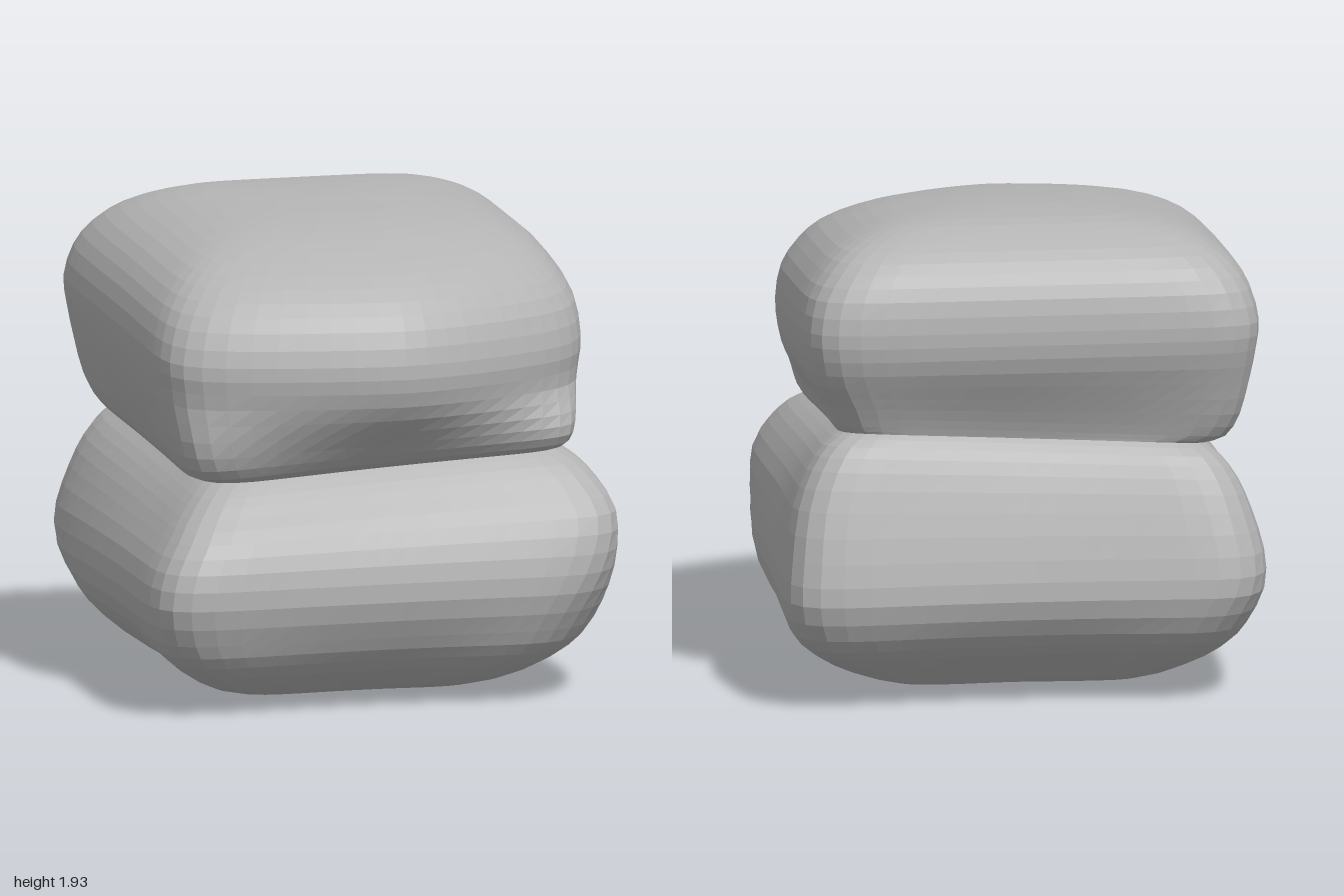
import * as THREE from 'three';

const { smoothstep } = THREE.MathUtils;
const SIDE = 18; // segments along each side of a ring
const SEAM = [0.98, -0.73, 0.77, -0.79, 0.73, 8];

// Rings: height, xMin, xMax, zMin, zMax, corner squareness
const LOWER = [
  [0, 0.05, 0.05, -0.1, -0.1, 4],
  [0.004, -0.3, 0.38, -0.38, 0.25, 4],
  [0.03, -0.6, 0.56, -0.56, 0.58, 5],
  [0.1, -0.79, 0.75, -0.7, 0.77, 6],
  [0.2, -0.93, 0.9, -0.87, 0.91, 7],
  [0.3, -1.0, 0.98, -0.96, 0.96, 8],
  [0.45, -1.03, 1.01, -1.01, 1.0, 9],
  [0.6, -1.0, 1.0, -0.99, 0.99, 9],
  [0.74, -0.93, 0.97, -0.94, 0.94, 9],
  [0.85, -0.86, 0.91, -0.89, 0.86, 9],
  [0.93, -0.79, 0.84, -0.84, 0.79, 9],
  SEAM,
];
const UPPER = [
  SEAM,
  [1.01, -0.81, 0.79, -0.8, 0.79, 9],
  [1.1, -0.86, 0.82, -0.83, 0.86, 10],
  [1.23, -0.89, 0.87, -0.87, 0.94, 10],
  [1.36, -0.91, 0.9, -0.91, 0.985, 10],
  [1.47, -0.92, 0.91, -0.92, 0.99, 10],
  [1.6, -0.89, 0.89, -0.9, 0.95, 9],
  [1.7, -0.83, 0.83, -0.85, 0.87, 8],
  [1.78, -0.74, 0.75, -0.77, 0.75, 7],
  [1.84, -0.62, 0.63, -0.66, 0.59, 6],
  [1.88, -0.47, 0.49, -0.53, 0.42, 5],
  [1.905, -0.25, 0.26, -0.31, 0.2, 4],
  [1.912, 0, 0, -0.07, -0.07, 4],
];

// Smoothly inserts one ring between each pair
function refine(rings) {
  const last = rings.length - 1;
  return rings.flatMap((b, i) => {
    if (i === last) return [b];
    const a = rings[Math.max(i - 1, 0)];
    const c = rings[i + 1];
    const d = rings[Math.min(i + 2, last)];
    return [b, b.map((value, j) => (9 * (value + c[j]) - a[j] - d[j]) / 16)];
  });
}

// Even walk round a square, from (-1,-1) towards +x, then +z
function squarePoint(k) {
  const t = ((k % SIDE) / SIDE) * 2 - 1;
  return [[t, -1], [1, t], [-t, 1], [-1, -t]][Math.floor(k / SIDE) % 4];
}

// Tilt and side pinch of the seam
const PINCH = 0.05;
const seamTilt = (x, z) => 0.055 * x - 0.08 * z + 0.05 * z * z;
const hollow = (t) => Math.max(0, 1 - (t / 0.9) ** 2);

// Lower cushion: hollow sides, two opposite corners swung round, top edge tilted with the seam
function shapeLower(x, y, z, u, v, hx) {
  const seam = smoothstep(y, 0.5, 0.98);
  const low = 0.06 * (1 - smoothstep(y, 0.1, 0.45));
  const dip = (amount) => 1 - (amount + (PINCH - amount) * seam + low);
  let px = x * (1 - hollow(v) * (1 - dip(0.03)));
  const pz = z * (1 - hollow(u) * (1 - dip(v < 0 ? 0.05 : 0.03)));
  if (u < 0) px *= 1 - 0.035 * (1 - seam) * (1 - v);
  const corner = u * v > 0 ? hx * u * Math.abs(v) ** 3 : 0;
  const swing = v > 0 ? 0.28 - 0.25 * smoothstep(y, 0.25, 0.8) : 0.12 * (1 - smoothstep(y, 0.25, 0.6));
  return [px - corner * swing, y + seam * seamTilt(px, pz), pz];
}

// Upper cushion: leaning forward, front edge bowed, one front corner tucked in
function shapeUpper(x, y, z, u, v, hx, hz) {
  const s = smoothstep(y, 0.98, 1.35);
  const px = x * (1 - PINCH * (1 - s) * hollow(v));
  const pz = z * (1 - PINCH * (1 - s) * hollow(u));
  const front = s * Math.max(v, 0);
  const bow = front * hz * Math.abs(u) ** 1.5 * (u > 0 ? 0.33 : 0.21);
  const tuck = u > 0 ? 0.1 * front * hx * u * v : 0;
  return [px - tuck, y + (1 - s) * seamTilt(px, pz) - 0.07 * s * z, pz - bow];
}

// Surface through the rings
function cushion(name, profile, shape, material) {
  const rings = refine(profile);
  const n = SIDE * 4;
  const pos = [];
  const index = [];
  for (const [y, x0, x1, z0, z1, e] of rings) {
    const hx = (x1 - x0) / 2;
    const hz = (z1 - z0) / 2;
    for (let k = 0; k < n; k++) {
      const [a, b] = squarePoint(k);
      const r = Math.pow(Math.abs(a) ** e + Math.abs(b) ** e, -1 / e);
      const u = a * r;
      const v = b * r;
      // the closing rings are single points
      if (hx === 0) pos.push(x0, y - (y > 1 ? 0.07 * z0 : 0), z0);
      else pos.push(...shape(x0 + hx * (1 + u), y, z0 + hz * (1 + v), u, v, hx, hz));
    }
  }
  for (let i = 0; i < rings.length - 1; i++) {
    for (let k = 0; k < n; k++) {
      const p = i * n + k;
      const q = i * n + ((k + 1) % n);
      if (rings[i][1] !== rings[i][2]) index.push(p, p + n, q);
      if (rings[i + 1][1] !== rings[i + 1][2]) index.push(q, p + n, q + n);
    }
  }
  const geometry = new THREE.BufferGeometry();
  geometry.setAttribute('position', new THREE.Float32BufferAttribute(pos, 3));
  geometry.setIndex(index);
  geometry.computeVertexNormals();
  const mesh = new THREE.Mesh(geometry, material);
  mesh.name = name;
  return mesh;
}

export function createModel() {
  const fabric = new THREE.MeshStandardMaterial({ color: 0xb4b4b4, flatShading: true });
  fabric.name = 'grey fabric';
  const model = new THREE.Group();
  model.name = 'stackedCushions';
  model.add(cushion('lowerCushion', LOWER, shapeLower, fabric));
  model.add(cushion('upperCushion', UPPER, shapeUpper, fabric));
  return model;
}
